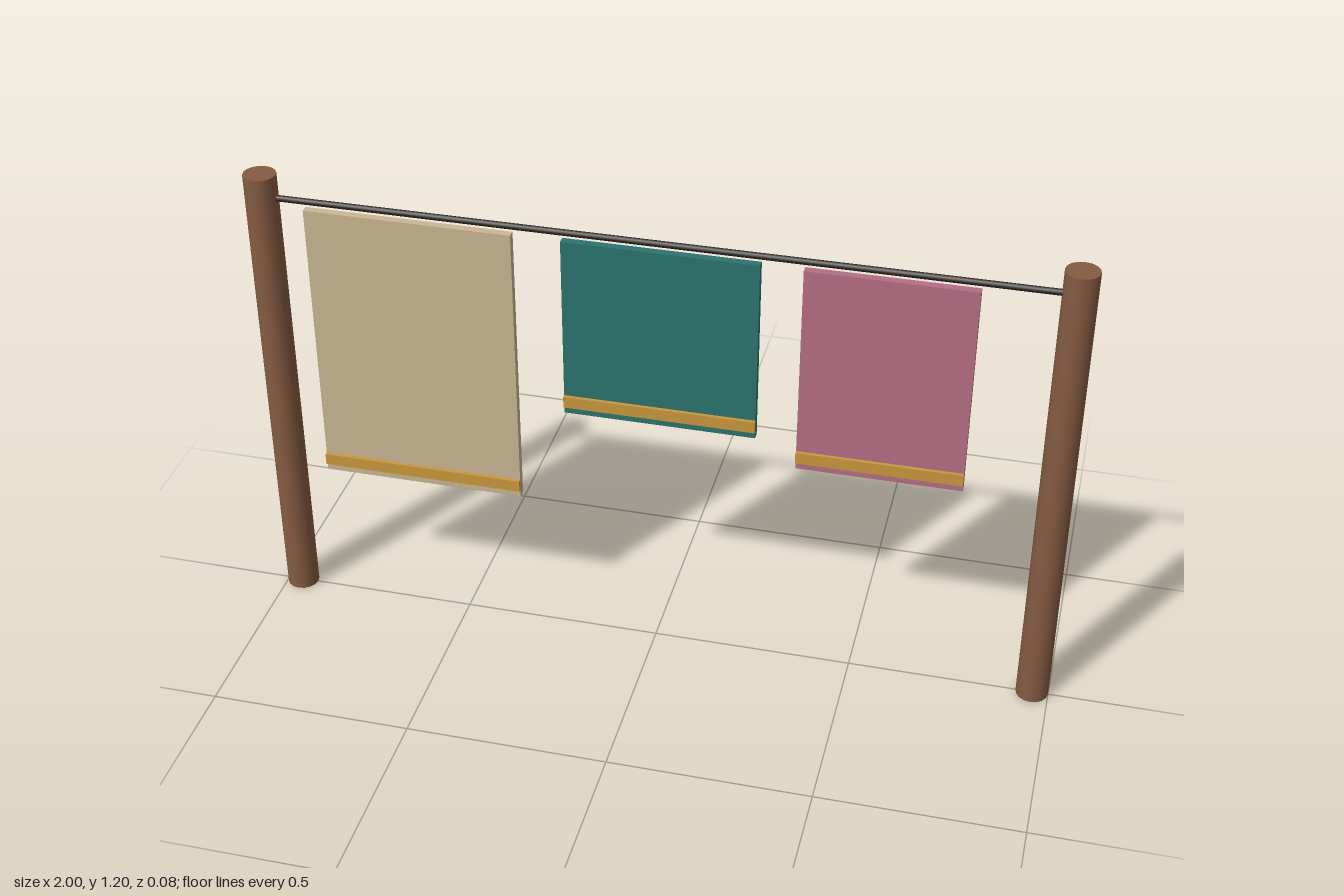
import * as THREE from 'three';

const mat = (name, color) => {
  const m = new THREE.MeshStandardMaterial({ color });
  m.name = name;
  return m;
};

export function createModel() {
  const group = new THREE.Group();
  const wood = mat('wood', 0x855b41);
  const cord = mat('dark cord', 0x2a2420);
  const gold = mat('gold trim', 0xc9983c);

  const add = (name, geometry, material, x, y, z, parent = group) => {
    const mesh = new THREE.Mesh(geometry, material);
    mesh.name = name;
    mesh.position.set(x, y, z);
    parent.add(mesh);
    return mesh;
  };

  // Posts
  const postGeo = new THREE.CylinderGeometry(0.04, 0.04, 1.2, 16);
  add('leftPost', postGeo, wood, 0.96, 0.6, 0);
  add('rightPost', postGeo, wood, -0.96, 0.6, 0);

  // Cord strung between the posts
  const line = new THREE.CylinderGeometry(0.008, 0.008, 1.92, 8);
  add('line', line, cord, 0, 1.14, 0).rotation.z = Math.PI / 2;

  // Hanging cloths, each with a raised trim band near the lower hem
  const top = 1.12;
  const cloths = [
    { name: 'sandCloth', color: 0xc9b691, x: -0.6, width: 0.51, bottom: 0.38 },
    { name: 'tealCloth', color: 0x2b7370, x: 0.01, width: 0.47, bottom: 0.65 },
    { name: 'pinkCloth', color: 0xb56e85, x: 0.545, width: 0.4, bottom: 0.58 },
  ];
  for (const { name, color, x, width, bottom } of cloths) {
    const cloth = new THREE.Group();
    cloth.name = name;
    cloth.position.x = x;
    group.add(cloth);
    const height = top - bottom;
    add('panel', new THREE.BoxGeometry(width, height, 0.02),
      mat(name + ' fabric', color), 0, bottom + height / 2, 0, cloth);
    add('trimBand', new THREE.BoxGeometry(width, 0.03, 0.009),
      gold, 0, bottom + 0.035, 0.0145, cloth);
  }
  return group;
}
